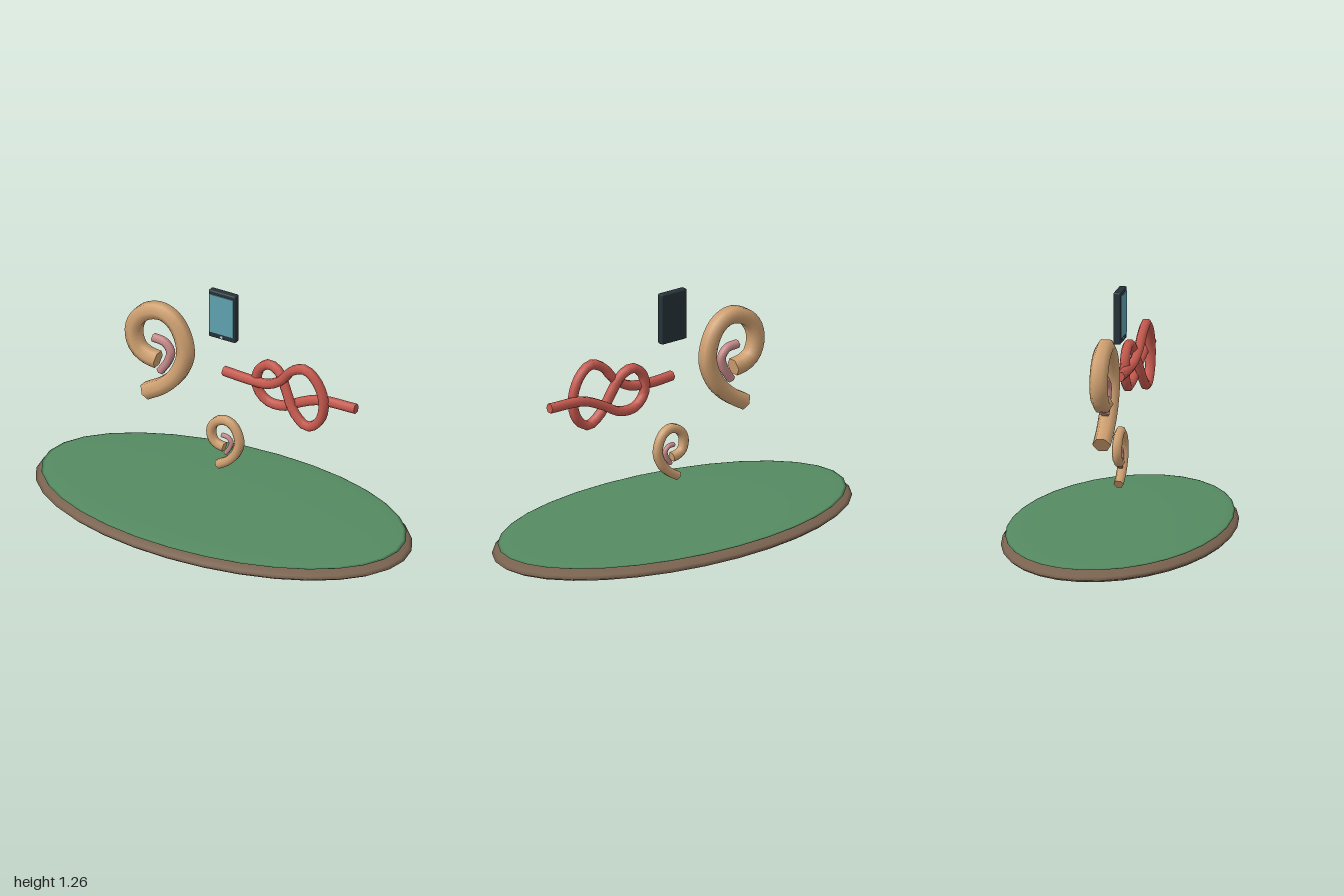
import * as THREE from 'three';
import { RoundedBoxGeometry } from 'three/addons/geometries/RoundedBoxGeometry.js';

const paint = (color) => new THREE.MeshStandardMaterial({ color, side: THREE.DoubleSide });
const tan = paint(0xd2a373), pink = paint(0xc98b8b), red = paint(0xc85a4f);
const brown = paint(0x7a6350), green = paint(0x558b62);
const dark = paint(0x263238), glass = paint(0x5fa3b0), pale = paint(0xcfd8dc);

function add(parent, name, geometry, material, x = 0, y = 0, z = 0) {
  const mesh = new THREE.Mesh(geometry, material);
  mesh.name = name;
  mesh.position.set(x, y, z);
  parent.add(mesh);
  return mesh;
}

// Six-sided tube along a smooth path, with a flat cap on each end
function rope(parent, name, points, radius, segments, material) {
  const sides = 6;
  const path = new THREE.CatmullRomCurve3(points.map(([x, y, z = 0]) => new THREE.Vector3(x, y, z)));
  const tube = new THREE.TubeGeometry(path, segments, radius, sides);
  const group = new THREE.Group();
  group.name = name;
  parent.add(group);
  add(group, name + 'Tube', tube, material);
  const ringPoint = (ring, i) =>
    new THREE.Vector3().fromBufferAttribute(tube.attributes.position, ring * (sides + 1) + i);
  for (const ring of [0, segments]) {
    const corners = [];
    for (let i = 1; i < sides - 1; i++) {
      const fan = [ringPoint(ring, 0), ringPoint(ring, i), ringPoint(ring, i + 1)];
      if (ring === 0) fan.reverse();
      corners.push(...fan);
    }
    const cap = new THREE.BufferGeometry().setFromPoints(corners);
    cap.computeVertexNormals();
    add(group, name + 'End', cap, material);
  }
}

// Ear: curled outer rim with a small inner fold
function ear(parent, name, x, y, scale) {
  const group = new THREE.Group();
  group.name = name;
  rope(group, 'earRim', [
    [-0.075, -0.235], [0.02, -0.176], [0.096, -0.096], [0.142, 0.021], [0.123, 0.128],
    [0.075, 0.198], [0.005, 0.227], [-0.08, 0.2], [-0.131, 0.139], [-0.144, 0.064],
    [-0.118, -0.005], [-0.064, -0.037], [-0.011, -0.045],
  ], 0.045, 40, tan);
  rope(group, 'earFold', [
    [-0.037, 0.07], [0.027, 0.061], [0.059, 0.021], [0.048, -0.032], [0.003, -0.104],
  ], 0.022, 20, pink);
  group.position.set(x, y, 0);
  group.scale.setScalar(scale);
  parent.add(group);
}

export function createModel() {
  const model = new THREE.Group();
  model.name = 'floatingObjectsOverIsland';

  // Island: two flattened spheres
  const ball = new THREE.SphereGeometry(1, 32, 16);
  add(model, 'islandSoil', ball, brown, 0, 0.06).scale.set(1, 0.06, 0.545);
  add(model, 'islandGrass', ball, green, 0, 0.105).scale.set(0.97, 0.018, 0.525);

  // Large and small ears
  ear(model, 'largeEar', -0.356, 0.825, 1);
  ear(model, 'smallEar', 0.008, 0.428, 0.545);

  // Figure-eight knot with straight ends
  rope(model, 'knot', [
    [0, 0.823, 0], [0.125, 0.816, 0], [0.249, 0.826, 0.01], [0.334, 0.877, 0.02],
    [0.393, 0.947, 0.028], [0.468, 0.976, 0.03], [0.532, 0.93, 0.03], [0.572, 0.824, 0.03],
    [0.548, 0.717, 0.03], [0.479, 0.668, 0.03], [0.404, 0.722, 0.025], [0.35, 0.824, 0.01],
    [0.307, 0.898, -0.005], [0.243, 0.922, -0.012], [0.184, 0.872, -0.013], [0.179, 0.775, -0.013],
    [0.233, 0.719, -0.013], [0.324, 0.717, -0.012], [0.425, 0.77, -0.005], [0.532, 0.813, 0],
    [0.735, 0.823, 0],
  ], 0.025, 64, red);

  // Phone: body, screen and round button
  const phone = new THREE.Group();
  phone.name = 'phone';
  phone.position.set(-0.002, 1.128, 0);
  model.add(phone);
  add(phone, 'phoneBody', new RoundedBoxGeometry(0.15, 0.256, 0.036, 2, 0.007), dark);
  add(phone, 'phoneScreen', new THREE.BoxGeometry(0.13, 0.207, 0.006), glass, 0, 0.005, 0.019);
  add(phone, 'phoneButton', new THREE.CylinderGeometry(0.007, 0.007, 0.006, 12), pale, 0, -0.113, 0.019)
    .rotation.x = Math.PI / 2;

  return model;
}
